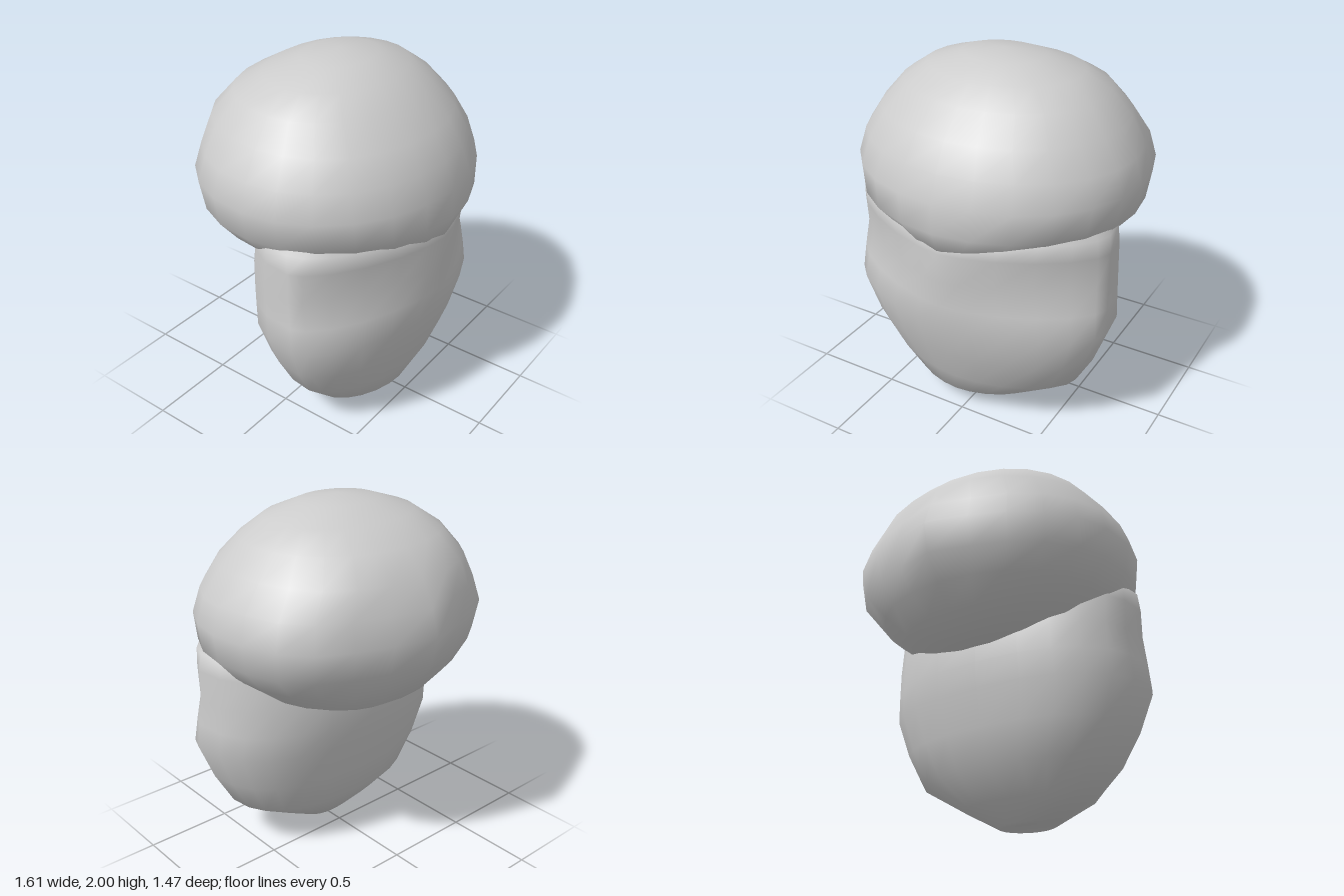
import * as THREE from 'three';

const SIDES = 24;

// Smooth closed shell from horizontal oval rings, listed bottom to top.
// Row: [y, half width, front z, back z, z of the widest point, front fullness, x of the centre]
// A fullness of 2 is an ellipse, less is more pointed, more is boxier.
function loft(rows, backPower, bottomY, topY) {
  const pos = [], index = [];
  for (const [y, w, front, back, mid, frontPower = 2, shift = 0] of rows) {
    for (let i = 0; i < SIDES; i++) {
      const a = (i / SIDES) * Math.PI * 2;
      const c = Math.cos(a), s = Math.sin(a);
      const p = 2 / (s >= 0 ? frontPower : backPower);
      const depth = s >= 0 ? front - mid : mid - back;
      pos.push(
        shift + w * Math.sign(c) * Math.abs(c) ** p, y,
        mid + depth * Math.sign(s) * Math.abs(s) ** p);
    }
  }
  for (let r = 0; r < rows.length - 1; r++) {
    for (let i = 0; i < SIDES; i++) {
      const a = r * SIDES + i, b = r * SIDES + (i + 1) % SIDES;
      index.push(a, a + SIDES, b, b, a + SIDES, b + SIDES);
    }
  }
  // Close both ends with a fan
  const low = rows.length * SIDES, high = low + 1, last = (rows.length - 1) * SIDES;
  const first = rows[0], top = rows[rows.length - 1];
  pos.push(0, bottomY, (first[2] + first[3]) / 2, 0, topY, (top[2] + top[3]) / 2);
  for (let i = 0; i < SIDES; i++) {
    const n = (i + 1) % SIDES;
    index.push(low, i, n, high, last + n, last + i);
  }
  const g = new THREE.BufferGeometry();
  g.setAttribute('position', new THREE.Float32BufferAttribute(pos, 3));
  g.setIndex(index);
  g.computeVertexNormals();
  return g;
}

export function createModel() {
  const group = new THREE.Group();
  group.name = 'headBase';
  const grey = new THREE.MeshStandardMaterial({ color: 0xcccccc });
  grey.name = 'light grey';

  // Rounded skull, bulging out at the back
  const cranium = new THREE.Mesh(loft([
    [0.89, 0.16, 0.05, -0.27, -0.1],
    [0.92, 0.32, 0.28, -0.37, -0.05],
    [1.0, 0.52, 0.5, -0.5, 0],
    [1.12, 0.67, 0.685, -0.6, 0.02, 1.55],
    [1.25, 0.78, 0.73, -0.66, 0.03],
    [1.41, 0.805, 0.725, -0.695, 0.03],
    [1.55, 0.765, 0.67, -0.65, 0.03],
    [1.69, 0.675, 0.595, -0.62, 0.02],
    [1.82, 0.565, 0.46, -0.5, 0.01],
    [1.91, 0.43, 0.35, -0.34, 0.01],
    [1.975, 0.23, 0.2, -0.17, 0.02],
  ], 2.15, 0.885, 2.0), grey);
  cranium.name = 'cranium';

  // Blunt point at the middle of the back, and a slightly fuller left rear
  const p = cranium.geometry.attributes.position;
  for (let i = 0; i < p.count; i++) {
    const x = p.getX(i), y = p.getY(i), z = p.getZ(i);
    if (y < 1.2 || y > 1.6) continue;
    if (Math.abs(x) < 0.01) {
      if (z < 0) p.setZ(i, z - 0.04);
    } else if (x > 0.5 && z < -0.2) {
      p.setXYZ(i, x + 0.015, y, z - 0.02);
    }
  }
  cranium.geometry.computeVertexNormals();

  // Face and jaw block with hollowed temples, its top buried in the skull
  const jaw = new THREE.Mesh(loft([
    [0, 0.17, 0.35, 0.1, 0.22, 1.9, -0.04],
    [0.11, 0.385, 0.485, 0.0, 0.24, 1.8, -0.05],
    [0.26, 0.59, 0.555, -0.13, 0.25, 1.75],
    [0.45, 0.695, 0.625, -0.19, 0.27, 1.75],
    [0.66, 0.775, 0.68, -0.235, 0.29, 1.7],
    [0.8, 0.765, 0.685, -0.25, 0.28, 1.55],
    [0.95, 0.755, 0.69, -0.25, 0.26, 1.4],
    [1.12, 0.755, 0.695, -0.22, 0.26, 1.5],
    [1.22, 0.745, 0.67, -0.18, 0.25, 1.7],
    [1.36, 0.6, 0.5, -0.1, 0.22],
  ], 2.45, 0.02, 1.42), grey);
  jaw.name = 'jaw';

  group.add(cranium, jaw);
  return group;
}
